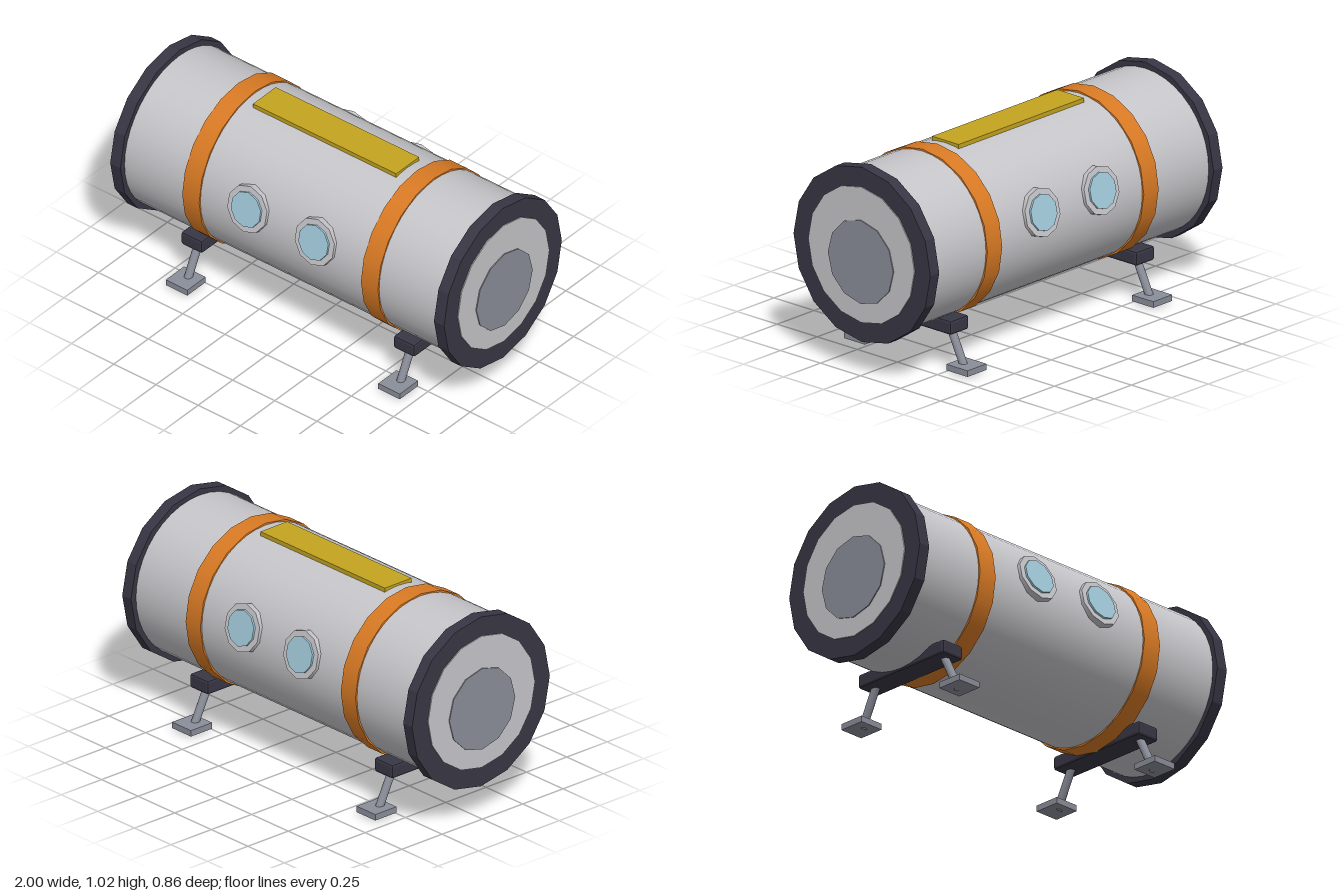
import * as THREE from 'three';
import { RoundedBoxGeometry } from 'three/addons/geometries/RoundedBoxGeometry.js';

const material = (name, color, flatShading = false) => {
  const m = new THREE.MeshStandardMaterial({ color, flatShading });
  m.name = name;
  return m;
};

export function createModel() {
  const model = new THREE.Group();
  model.name = 'habitatModule';

  const hullGrey = material('hull grey', 0xc6c6ca);
  const charcoal = material('charcoal', 0x383644, true);
  const orange = material('strap orange', 0xd97a24);
  const yellow = material('panel yellow', 0xc4a420);
  const glass = material('window blue', 0xa2cadb);
  const steel = material('steel grey', 0x8a8e99);

  const add = (parent, name, geometry, mat, x = 0, y = 0, z = 0) => {
    const mesh = new THREE.Mesh(geometry, mat);
    mesh.name = name;
    mesh.position.set(x, y, z);
    parent.add(mesh);
    return mesh;
  };
  // Cylinder lying along x
  const drum = (radius, length, sides) =>
    new THREE.CylinderGeometry(radius, radius, length, sides).rotateZ(Math.PI / 2);

  const axisY = 0.59;
  add(model, 'hull', drum(0.396, 1.9, 40), hullGrey, 0, axisY);
  add(model, 'roofPanel', new THREE.BoxGeometry(0.85, 0.022, 0.166), yellow, 0, 0.986, 0);

  for (const side of [-1, 1]) {
    const label = side > 0 ? 'left' : 'right';

    // End collar, bulkhead and hatch
    add(model, label + 'EndCollar', drum(0.427, 0.06, 16), charcoal, side * 0.96, axisY);
    add(model, label + 'Bulkhead', drum(0.331, 0.03, 16), hullGrey, side * 0.98, axisY);
    add(model, label + 'Hatch', drum(0.204, 0.03, 12), steel, side * 0.985, 0.556);
    add(model, label + 'Strap', drum(0.406, 0.1, 20), orange, side * 0.53, axisY);

    // Landing support: cross beam with a splayed strut and foot at each end
    const support = new THREE.Group();
    support.name = label + 'Support';
    support.position.x = side * 0.63;
    model.add(support);
    add(support, 'crossBeam', new RoundedBoxGeometry(0.125, 0.07, 0.56, 1, 0.012), charcoal, 0, 0.217);
    for (const end of [-1, 1]) {
      const top = new THREE.Vector3(0, 0.22, end * 0.21);
      const bottom = new THREE.Vector3(0, 0.0095, end * 0.313);
      const span = top.clone().sub(bottom);
      const strut = add(support, 'strut', new THREE.CylinderGeometry(0.02, 0.02, span.length(), 12), steel);
      strut.position.addVectors(top, bottom).multiplyScalar(0.5);
      strut.quaternion.setFromUnitVectors(new THREE.Vector3(0, 1, 0), span.normalize());
      add(support, 'foot', new THREE.BoxGeometry(0.128, 0.03, 0.132), steel, 0, 0.023, end * 0.32);
    }
  }

  // Portholes, tilted to sit square on the hull, on the front and back
  for (const turn of [0, Math.PI]) {
    const row = new THREE.Group();
    row.name = turn ? 'backPortholes' : 'frontPortholes';
    row.position.y = axisY;
    row.rotation.set(-0.229, turn, 0, 'YXZ');
    model.add(row);
    for (const x of [-0.2, 0.2]) {
      const disc = (r, depth) => new THREE.CylinderGeometry(r, r, depth, 10).rotateX(Math.PI / 2);
      add(row, 'portholeRim', disc(0.117, 0.05), hullGrey, x, 0, 0.386);
      add(row, 'portholeGlass', disc(0.088, 0.03), glass, x, 0, 0.406);
    }
  }
  return model;
}
